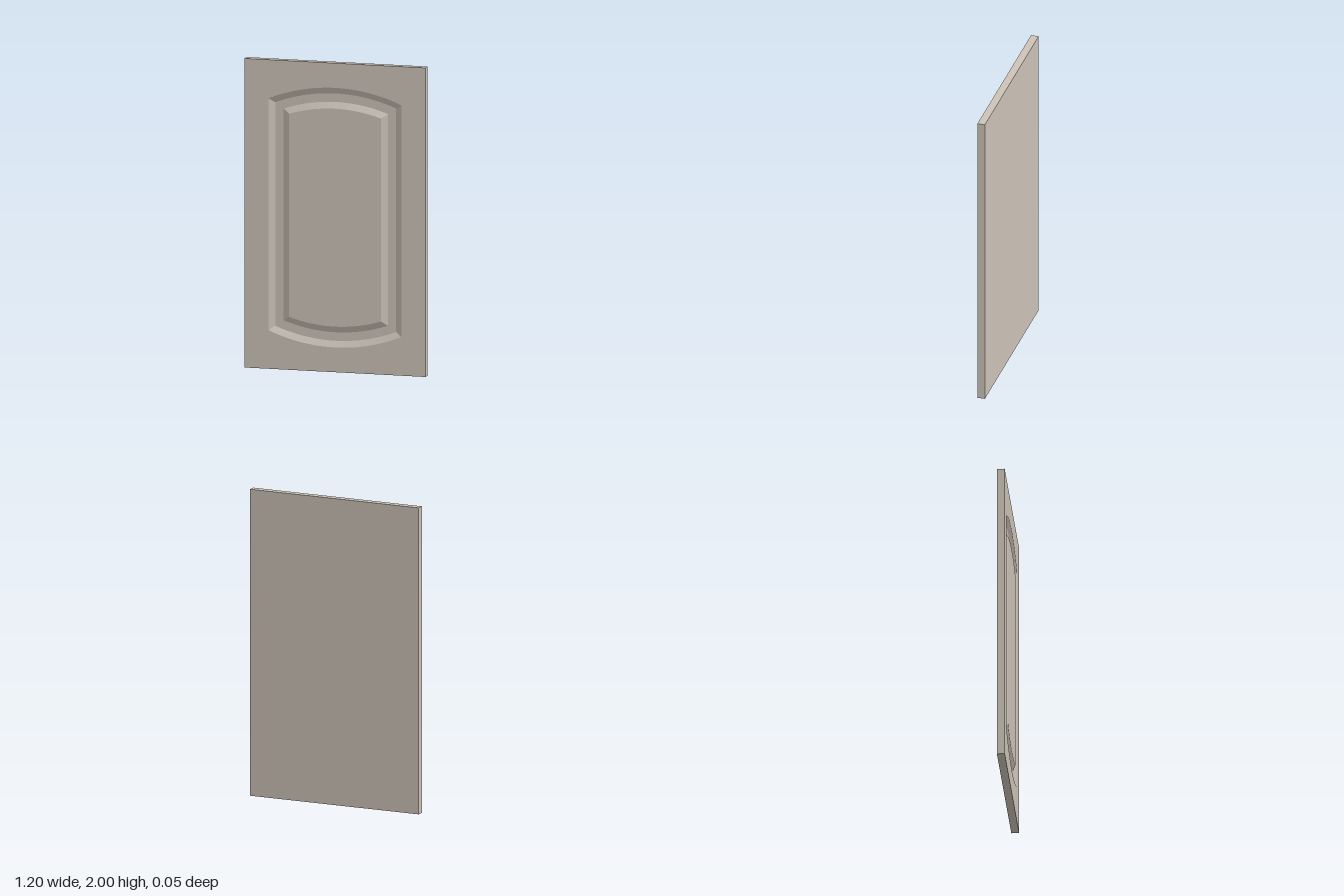
import * as THREE from 'three';

const HALF_W = 0.6, HEIGHT = 2, FRONT = 0.025, BACK = -0.025, FLOOR = 0.005;
const ARC_CENTRE = 0.72, ARC_RADIUS = 1.12, ARC_HALF_W = 0.44, ARC_STEPS = 32;

// Counter-clockwise panel outline with bowed ends, moved inwards by inset
function panelOutline(inset) {
  const r = ARC_RADIUS - inset, w = ARC_HALF_W - inset, top = [];
  const a = Math.asin(w / r);
  for (let i = 0; i <= ARC_STEPS; i++) {
    const t = a - (2 * a * i) / ARC_STEPS;
    top.push(new THREE.Vector2(r * Math.sin(t), ARC_CENTRE + r * Math.cos(t)));
  }
  const bottom = top.map((p) => new THREE.Vector2(-p.x, HEIGHT - p.y));
  return [...top, ...bottom];
}

// Closed band of quads between two matching outlines at depths z0 and z1
function band(loop0, z0, loop1, z1) {
  const pos = [], n = loop0.length;
  for (let i = 0; i < n; i++) {
    const j = (i + 1) % n;
    const a = [loop0[i].x, loop0[i].y, z0], b = [loop0[j].x, loop0[j].y, z0];
    const c = [loop1[j].x, loop1[j].y, z1], d = [loop1[i].x, loop1[i].y, z1];
    pos.push(...a, ...b, ...c, ...a, ...c, ...d);
  }
  const g = new THREE.BufferGeometry();
  g.setAttribute('position', new THREE.Float32BufferAttribute(pos, 3));
  g.computeVertexNormals();
  return g;
}

export function createModel() {
  const door = new THREE.Group();
  door.name = 'cabinetDoor';
  const material = new THREE.MeshStandardMaterial({ color: 0xcdc3b8 });
  const add = (name, geometry) => {
    const mesh = new THREE.Mesh(geometry, material);
    mesh.name = name;
    door.add(mesh);
    return mesh;
  };

  const slab = [[-HALF_W, 0], [HALF_W, 0], [HALF_W, HEIGHT], [-HALF_W, HEIGHT]]
    .map(([x, y]) => new THREE.Vector2(x, y));
  const [outer, floorOuter, floorInner, raised] = [0, 0.04, 0.095, 0.135].map(panelOutline);

  // Front frame around the routed panel
  const frame = new THREE.Shape(slab);
  frame.holes.push(new THREE.Path(outer));
  add('frontFrame', new THREE.ShapeGeometry(frame).translate(0, 0, FRONT));

  // Groove: slope down, flat floor, slope back up
  add('grooveOuterSlope', band(outer, FRONT, floorOuter, FLOOR));
  add('grooveFloor', band(floorOuter, FLOOR, floorInner, FLOOR));
  add('grooveInnerSlope', band(floorInner, FLOOR, raised, FRONT));

  // Raised centre panel
  add('centrePanel', new THREE.ShapeGeometry(new THREE.Shape(raised)).translate(0, 0, FRONT));

  // Slab edges and plain back
  add('doorEdges', band(slab, BACK, slab, FRONT));
  add('backFace', new THREE.PlaneGeometry(2 * HALF_W, HEIGHT)
    .rotateY(Math.PI).translate(0, HEIGHT / 2, BACK));

  return door;
}
